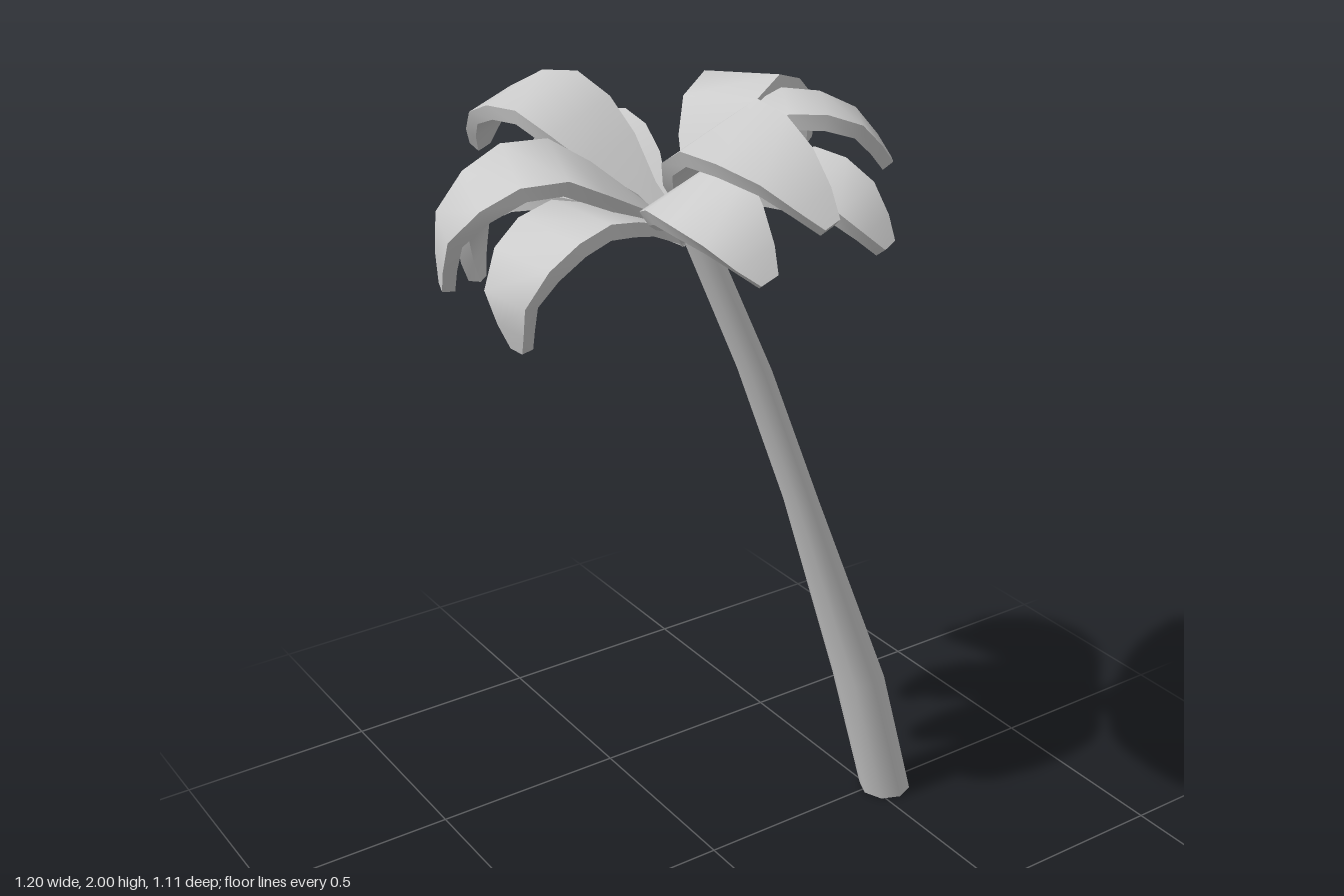
import * as THREE from 'three';
import { toCreasedNormals } from 'three/addons/utils/BufferGeometryUtils.js';

const V = (x, y, z) => new THREE.Vector3(x, y, z);
const material = new THREE.MeshStandardMaterial({ color: 0xcccccc });

// Skin a row of equal-length rings and close both ends
function loft(rings, crease) {
  const n = rings[0].length, last = (rings.length - 1) * n, index = [];
  for (let i = 0; i < last; i += n) {
    for (let j = 0; j < n; j++) {
      const a = i + j, b = i + (j + 1) % n;
      index.push(a, a + n, b, b, a + n, b + n);
    }
  }
  for (let j = 1; j < n - 1; j++) {
    index.push(0, j, j + 1, last, last + j + 1, last + j);
  }
  const geometry = new THREE.BufferGeometry().setFromPoints(rings.flat());
  geometry.setIndex(index);
  return toCreasedNormals(geometry, crease);
}

// Leaning trunk: [x, y, radius] of each ring
function trunk() {
  const sections = [
    [0.537, 0, 0.066], [0.434, 0.38, 0.066], [0.24, 0.93, 0.043],
    [0.1, 1.3, 0.04], [-0.055, 1.65, 0.036],
  ];
  const sides = 8;
  const rings = sections.map(([x, y, r]) => Array.from({ length: sides }, (_, j) => {
    const a = (j / sides) * Math.PI * 2;
    return V(x + r * Math.cos(a), y, 0.015 + r * Math.sin(a));
  }));
  return loft(rings, 1);
}

// Frond: a slab bent along an arc from the base over its middle to the tip;
// its width lies square to the plane of that arc
const base = V(-0.075, 1.635, 0.0);
const profile = [ // [position along arc, half width, half thickness]
  [0, 0.014, 0.01], [0.18, 0.03, 0.014], [0.33, 0.078, 0.016], [0.46, 0.1, 0.017],
  [0.58, 0.103, 0.017], [0.7, 0.093, 0.017], [0.82, 0.07, 0.016], [0.92, 0.045, 0.015],
  [1, 0.02, 0.014],
];
function frond(mid, tip, droop) {
  const side = tip.clone().sub(base).cross(mid.clone().sub(base)).normalize();
  // Point between a and b, pushed to the outside of the arc
  const bulge = (a, b, t, amount) => {
    const out = side.clone().cross(b.clone().sub(a)).normalize();
    return a.clone().lerp(b, t).addScaledVector(out, amount);
  };
  const arc = new THREE.CatmullRomCurve3([
    base, bulge(base, mid, 0.5, 0.02), mid, bulge(mid, tip, 0.6, droop), tip,
  ]);
  const rings = profile.map(([t, w, h]) => {
    const p = arc.getPointAt(t);
    const normal = arc.getTangentAt(t).cross(side).normalize();
    return [[1, 1], [-1, 1], [-1, -1], [1, -1]].map(([u, v]) =>
      p.clone().addScaledVector(normal, u * h).addScaledVector(side, v * w));
  });
  return loft(rings, 0.8);
}

// Middle, tip and droop of every frond, going round the crown
const fronds = [
  [V(-0.235, 1.905, -0.3), V(-0.275, 1.75, -0.54), 0.05],
  [V(-0.11, 1.8, -0.32), V(-0.08, 1.65, -0.535), 0.05],
  [V(-0.3, 1.73, -0.24), V(-0.4, 1.51, -0.345), 0.07],
  [V(-0.4, 1.84, -0.065), V(-0.565, 1.58, -0.165), 0.075],
  [V(-0.38, 1.74, 0.038), V(-0.51, 1.5, 0.05), 0.08],
  [V(-0.235, 1.85, 0.27), V(-0.21, 1.72, 0.495), 0.05],
  [V(-0.17, 1.95, 0.26), V(-0.1, 1.82, 0.54), 0.05],
  [V(-0.015, 1.835, 0.26), V(0.095, 1.72, 0.47), 0.05],
  [V(0.085, 1.915, 0.1), V(0.29, 1.8, 0.225), 0.05],
  [V(0.125, 1.925, -0.1), V(0.345, 1.75, -0.15), 0.05],
];

export function createModel() {
  const model = new THREE.Group();
  model.name = 'palmTree';

  const stem = new THREE.Mesh(trunk(), material);
  stem.name = 'trunk';

  const crown = new THREE.Group();
  crown.name = 'crown';
  fronds.forEach(([mid, tip, droop], i) => {
    const leaf = new THREE.Mesh(frond(mid, tip, droop), material);
    leaf.name = `frond${i + 1}`;
    crown.add(leaf);
  });

  model.add(stem, crown);
  return model;
}
